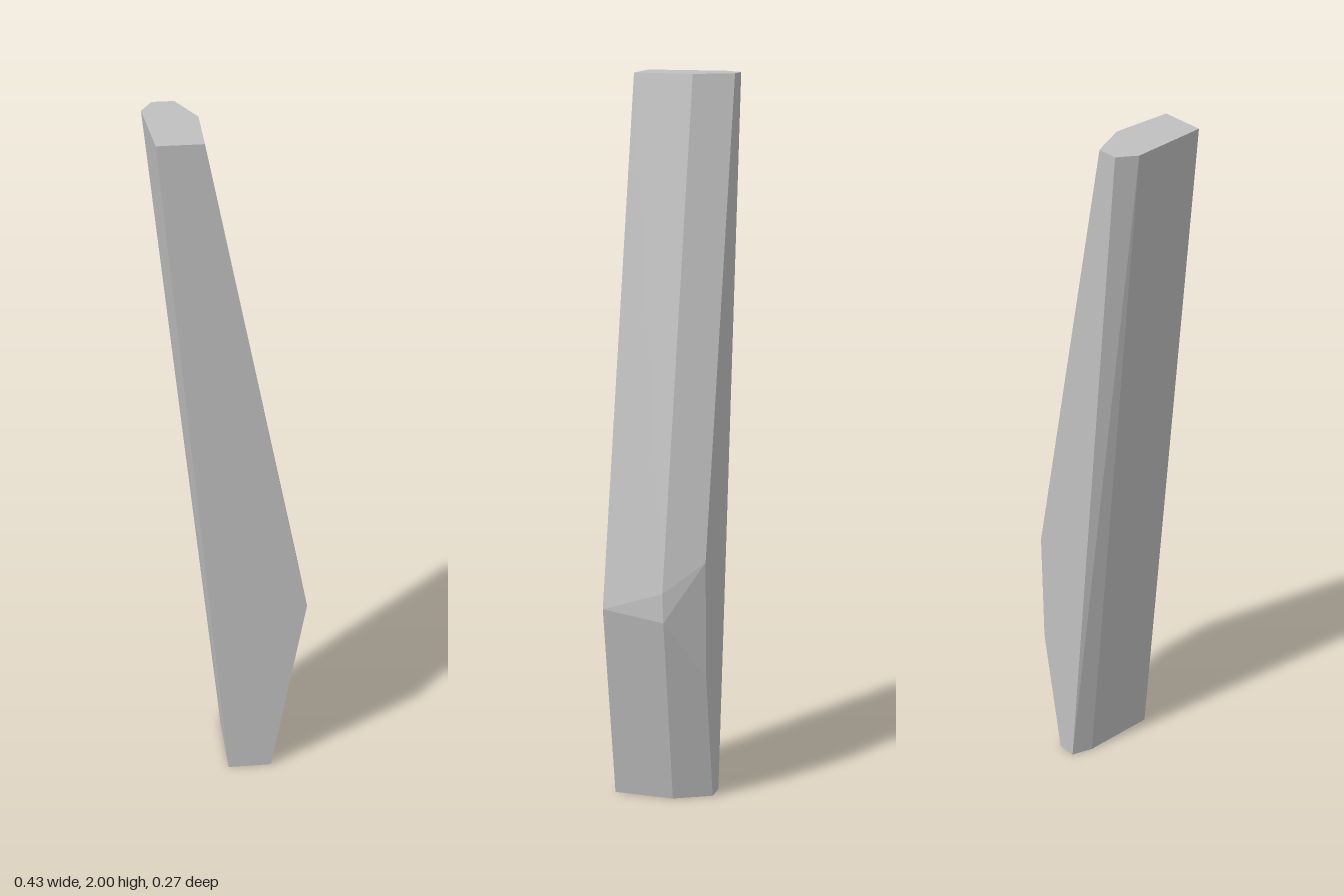
import * as THREE from 'three';
import { ConvexGeometry } from 'three/addons/geometries/ConvexGeometry.js';

export function createModel() {
  const group = new THREE.Group();
  group.name = 'facetedShard';
  const stone = new THREE.MeshStandardMaterial({ color: 0xc0c0c0 });
  stone.name = 'pale grey';

  // Cut corners of the leaning shard, as x, y, z
  const corners = [
    // Flat top, six-sided
    [-0.193, 2, 0.135], [-0.07, 2, 0.135], [-0.07, 2, -0.032],
    [-0.123, 2, -0.135], [-0.182, 2, -0.135], [-0.213, 2, -0.083],
    // Elbow on the left side, chamfered toward the back
    [0.212, 0.565, 0.135], [0.203, 0.62, -0.033], [0.209, 0.54, -0.038],
    [0.135, 0.7, -0.135], [0.127, 0.37, -0.135],
    // Flat foot, six-sided
    [-0.01, 0, 0.135], [0.115, 0, 0.135], [0.115, 0, -0.035],
    [0.06, 0, -0.135], [0.005, 0, -0.135], [-0.012, 0, -0.075],
  ];

  // The body is the solid spanned by those corners, with flat facets
  const points = corners.map((c) => new THREE.Vector3(...c));
  const body = new THREE.Mesh(new ConvexGeometry(points), stone);
  body.name = 'shardBody';
  group.add(body);
  return group;
}
